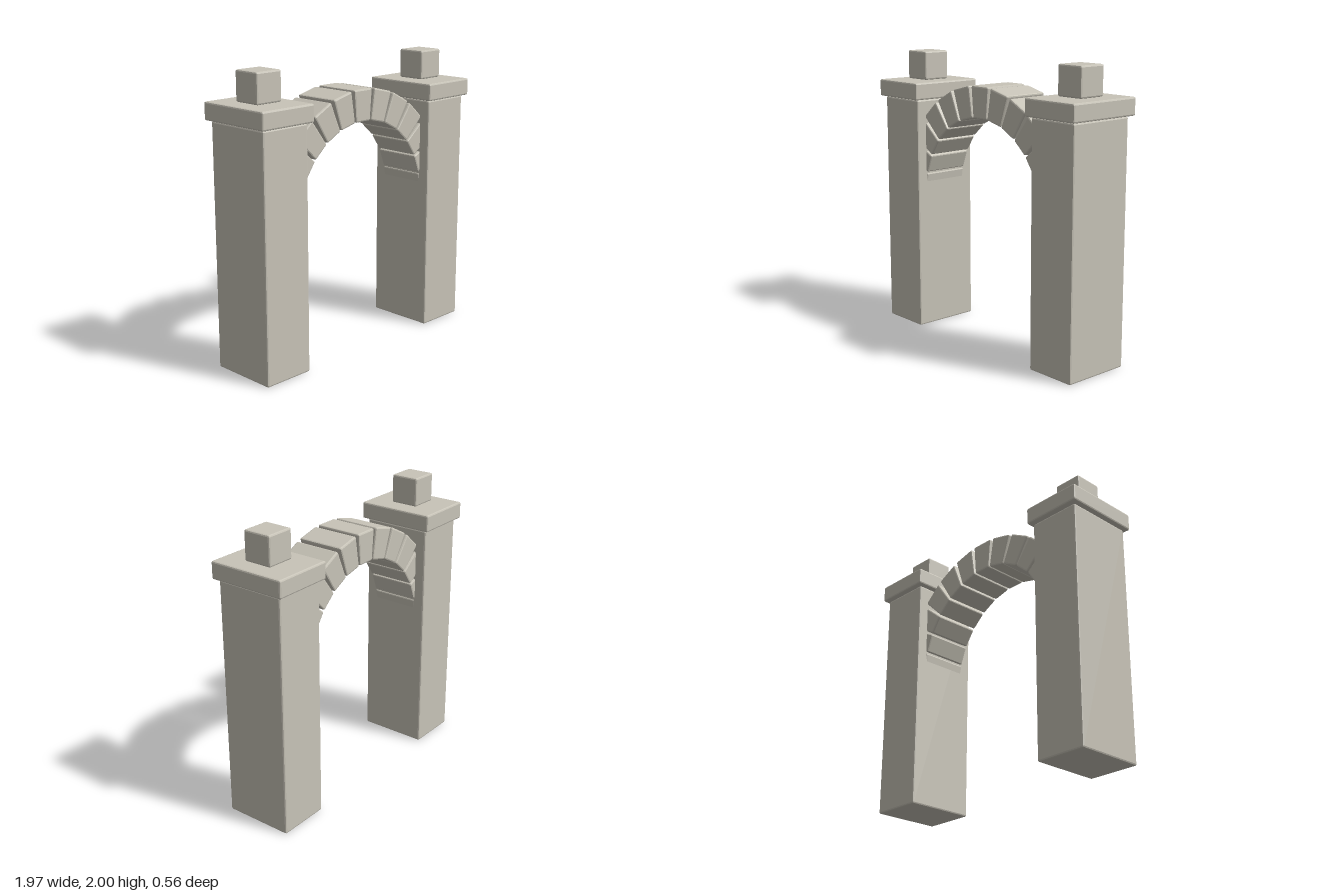
import * as THREE from 'three';
import { RoundedBoxGeometry } from 'three/addons/geometries/RoundedBoxGeometry.js';

const BEVEL = 0.011;

// Box with small chamfered edges; optionally narrowed towards its bottom
function stoneGeometry(w, h, d, bottomScale = 1) {
  const geo = new RoundedBoxGeometry(w, h, d, 1, BEVEL);
  const pos = geo.attributes.position;
  for (let i = 0; i < pos.count; i++) {
    const t = pos.getY(i) / h + 0.5;
    pos.setX(i, pos.getX(i) * (bottomScale + (1 - bottomScale) * t));
  }
  geo.computeVertexNormals();
  return geo;
}

export function createModel() {
  const group = new THREE.Group();
  const stone = new THREE.MeshStandardMaterial({ color: 0xc8c4b8 });
  stone.name = 'pale stone';

  const add = (name, geo, parent, x, y) => {
    const mesh = new THREE.Mesh(geo, stone);
    mesh.name = name;
    mesh.position.set(x, y, 0);
    parent.add(mesh);
    return mesh;
  };

  // Gate posts: shaft, overhanging cap and cube finial: [name, width, bottom, top, depth]
  const postParts = [
    ['shaft', 0.37, 0, 1.669, 0.49],
    ['cap', 0.43, 1.673, 1.793, 0.556],
    ['finial', 0.203, 1.797, 2, 0.203],
  ];
  for (const side of [-1, 1]) {
    const post = new THREE.Group();
    post.name = side > 0 ? 'leftPost' : 'rightPost';
    post.position.x = side * 0.77;
    for (const [name, w, y0, y1, d] of postParts) {
      add(name, stoneGeometry(w, y1 - y0, d), post, 0, (y0 + y1) / 2);
    }
    group.add(post);
  }

  // Half-circle arch of wedge stones, its ends sunk into the posts
  const arch = new THREE.Group();
  arch.name = 'arch';
  arch.position.y = 1;
  const count = 13, inner = 0.59, outer = 0.81, radius = (inner + outer) / 2;
  const wedge = stoneGeometry(0.17, outer - inner, 0.34, 0.78);
  for (let i = 0; i < count; i++) {
    const a = (i - (count - 1) / 2) * Math.PI / count;
    const block = add('archStone', wedge, arch, radius * Math.sin(a), radius * Math.cos(a));
    block.rotation.z = -a;
  }
  group.add(arch);

  return group;
}
